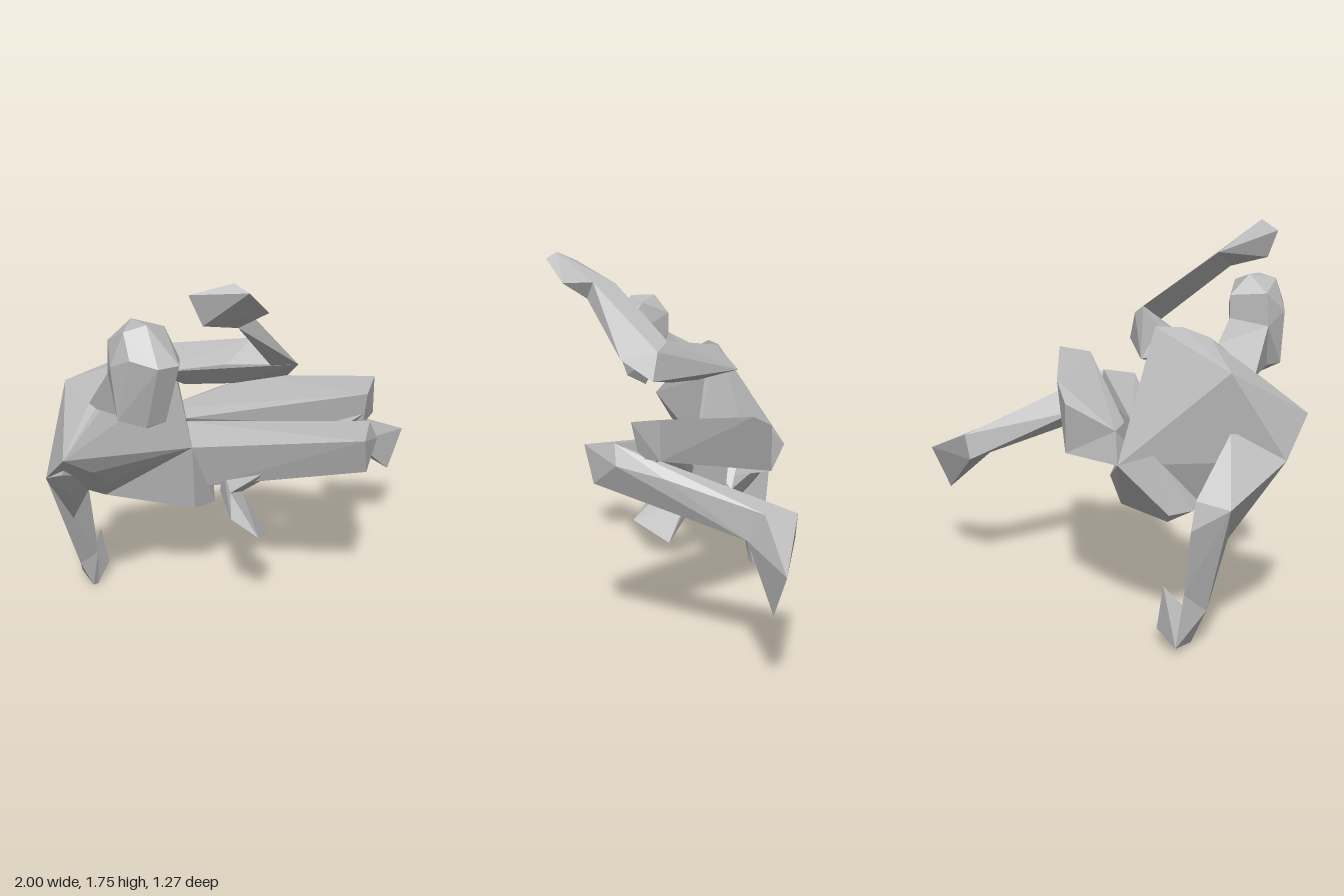
import * as THREE from 'three';
import { ConvexGeometry } from 'three/addons/geometries/ConvexGeometry.js';

// A faceted leaping figure: each limb is a chain of angular hulls that share joint rings.
export function createModel() {
  const group = new THREE.Group();
  const grey = new THREE.MeshStandardMaterial({ color: 0xbababa, flatShading: true });
  grey.name = 'plain grey';

  // Hull spanning the given rings of corner points
  const part = (name, ...rings) => {
    const points = rings.flat().map((p) => new THREE.Vector3(...p));
    const mesh = new THREE.Mesh(new ConvexGeometry(points), grey);
    mesh.name = name;
    group.add(mesh);
  };

  // Torso and hips
  const shoulders = [
    [-1, 0.945, -0.09], [-0.96, 0.78, -0.3], [-0.75, 1.15, -0.42], [-0.79, 1.12, -0.185],
    [-0.59, 1.26, -0.185], [-0.465, 1.3, -0.185], [-0.34, 1.295, -0.185],
    [-0.35, 1.165, -0.27], [-0.36, 1.13, -0.12],
  ];
  const chest = [[-0.48, 0.96, -0.09], [-0.84, 0.83, -0.12], [-0.72, 0.71, -0.2]];
  const waist = [
    [-0.31, 0.755, -0.55], [-0.62, 0.565, -0.35], [-0.33, 0.81, -0.06],
    [-0.27, 0.85, -0.3], [-0.44, 0.84, -0.5],
  ];
  const seat = [
    [-0.52, 0.55, -0.5], [-0.6, 0.56, -0.43], [-0.5, 0.51, -0.46],
    [-0.29, 0.47, -0.1], [-0.155, 0.455, -0.11], [-0.12, 0.6, -0.16],
  ];
  const hipWedge = [
    [-0.31, 0.755, -0.55], [-0.25, 0.87, -0.42], [0.04, 0.72, -0.3],
    [-0.16, 0.66, -0.2], [-0.3, 0.7, -0.2],
  ];
  part('torso', shoulders, chest, waist);
  part('pelvis', waist, seat);
  part('hip', hipWedge);

  // Neck and head
  const nape = [[-0.79, 1.1, -0.2], [-0.6, 1.15, -0.2], [-0.68, 1.08, -0.1], [-0.63, 1.24, -0.2]];
  const skullBase = [[-0.8, 1.3, -0.02], [-0.63, 1.33, -0.03], [-0.78, 1.12, 0.05], [-0.63, 1.15, 0.05]];
  const crown = [
    [-0.8, 1.5, 0.1], [-0.715, 1.52, 0.14], [-0.61, 1.49, 0.12],
    [-0.7, 1.52, 0.02], [-0.79, 1.44, -0.02], [-0.63, 1.43, -0.03],
  ];
  const brow = [
    [-0.85, 1.36, 0.07], [-0.595, 1.38, 0.08], [-0.75, 1.37, 0.25],
    [-0.66, 1.37, 0.27], [-0.82, 1.4, 0.16], [-0.6, 1.37, 0.2],
  ];
  const jaw = [
    [-0.835, 1.13, 0.08], [-0.6, 1.21, 0.08], [-0.685, 1.055, 0.08],
    [-0.75, 1.1, 0.16], [-0.67, 1.11, 0.185],
  ];
  part('neck', nape, skullBase);
  part('head', crown, brow, skullBase, jaw);

  // Raised left arm
  const leftShoulder = [
    [-0.49, 1.2, -0.12], [-0.36, 1.29, -0.185], [-0.31, 1.165, -0.28],
    [-0.35, 1.12, -0.08], [-0.27, 1.2, -0.14],
  ];
  const leftElbow = [
    [-0.05, 1.18, 0.27], [-0.09, 1.31, 0.23], [-0.12, 1.28, 0.4],
    [-0.16, 1.35, 0.155], [-0.18, 1.26, 0.3],
  ];
  const leftElbowInner = [[-0.3, 1.26, 0.15], [-0.22, 1.14, 0.1]];
  const leftWrist = [[-0.48, 1.6, 0.3], [-0.5, 1.53, 0.44], [-0.46, 1.61, 0.42]];
  const leftFist = [
    [-0.73, 1.7, 0.42], [-0.62, 1.75, 0.55], [-0.6, 1.72, 0.61],
    [-0.46, 1.61, 0.57], [-0.68, 1.575, 0.44],
  ];
  part('leftUpperArm', leftShoulder, leftElbow, leftElbowInner);
  part('leftForearm', leftElbow, leftWrist);
  part('leftHand', leftWrist, leftFist);

  // Lowered right arm
  const rightShoulder = [
    [-0.97, 0.85, -0.15], [-0.96, 0.78, -0.3], [-0.88, 0.69, -0.25],
    [-0.75, 0.9, -0.41], [-0.72, 0.71, -0.3],
  ];
  const rightElbow = [
    [-0.66, 0.54, -0.64], [-0.67, 0.66, -0.61], [-0.8, 0.62, -0.56],
    [-0.755, 0.46, -0.43], [-0.64, 0.56, -0.46],
  ];
  const rightWrist = [[-0.69, 0.16, -0.5], [-0.6, 0.2, -0.475], [-0.62, 0.25, -0.59]];
  const rightPalm = [[-0.625, 0.01, -0.5], [-0.59, 0, -0.51], [-0.6, 0.03, -0.63]];
  const rightFingers = [[-0.49, 0.07, -0.55], [-0.52, 0.265, -0.56]];
  part('rightUpperArm', rightShoulder, rightElbow);
  part('rightForearm', rightElbow, rightWrist);
  part('rightPalm', rightWrist, rightPalm);
  part('rightFingers', rightPalm, rightFingers, [[-0.6, 0.17, -0.52]]);

  // Front leg, kicking out to the side
  const frontHip = [
    [-0.33, 0.81, -0.06], [-0.25, 0.87, -0.22], [-0.26, 0.6, -0.04], [-0.14, 0.62, -0.14],
  ];
  const frontKnee = [
    [0.06, 0.945, 0.635], [0.2, 0.97, 0.54], [0.107, 0.775, 0.61], [0.245, 0.88, 0.55],
  ];
  const frontAnkle = [
    [0.67, 0.71, -0.11], [0.66, 0.72, 0.04], [0.62, 0.6, 0.1], [0.64, 0.59, -0.115],
  ];
  part('frontThigh', frontHip, frontKnee, [[0.11, 0.79, 0.46]]);
  part('frontShin', frontKnee, [[0.24, 0.79, 0.3], [0.39, 0.84, 0.38]], frontAnkle);
  part('frontFoot', frontAnkle, [[1, 0.57, 0.11], [0.89, 0.37, 0.11]]);

  // Rear leg, folded beneath the body
  const rearHip = [
    [-0.25, 0.87, -0.42], [0.04, 0.72, -0.3], [0.04, 0.945, -0.3],
    [0.15, 1.02, -0.15], [-0.22, 0.87, -0.24], [-0.05, 0.74, -0.13],
  ];
  const rearKnee = [
    [0.39, 1.1, 0.4], [0.25, 1.07, 0.48], [0.39, 0.92, 0.4], [0.26, 0.91, 0.45],
  ];
  const rearAnkle = [
    [-0.14, 0.57, 0.07], [-0.26, 0.62, 0.12], [-0.18, 0.67, -0.02], [-0.2, 0.56, -0.02],
  ];
  const rearShinTop = [[0.38, 0.94, 0.39], [0.26, 0.97, 0.46], [0.27, 0.87, 0.4], [0.34, 1, 0.32]];
  part('rearThigh', rearHip, rearKnee);
  part('rearShin', rearShinTop, rearAnkle);
  part('rearFoot', rearAnkle, [[-0.33, 0.54, 0.2], [-0.26, 0.46, 0.305], [-0.085, 0.38, 0.185]]);

  return group;
}
